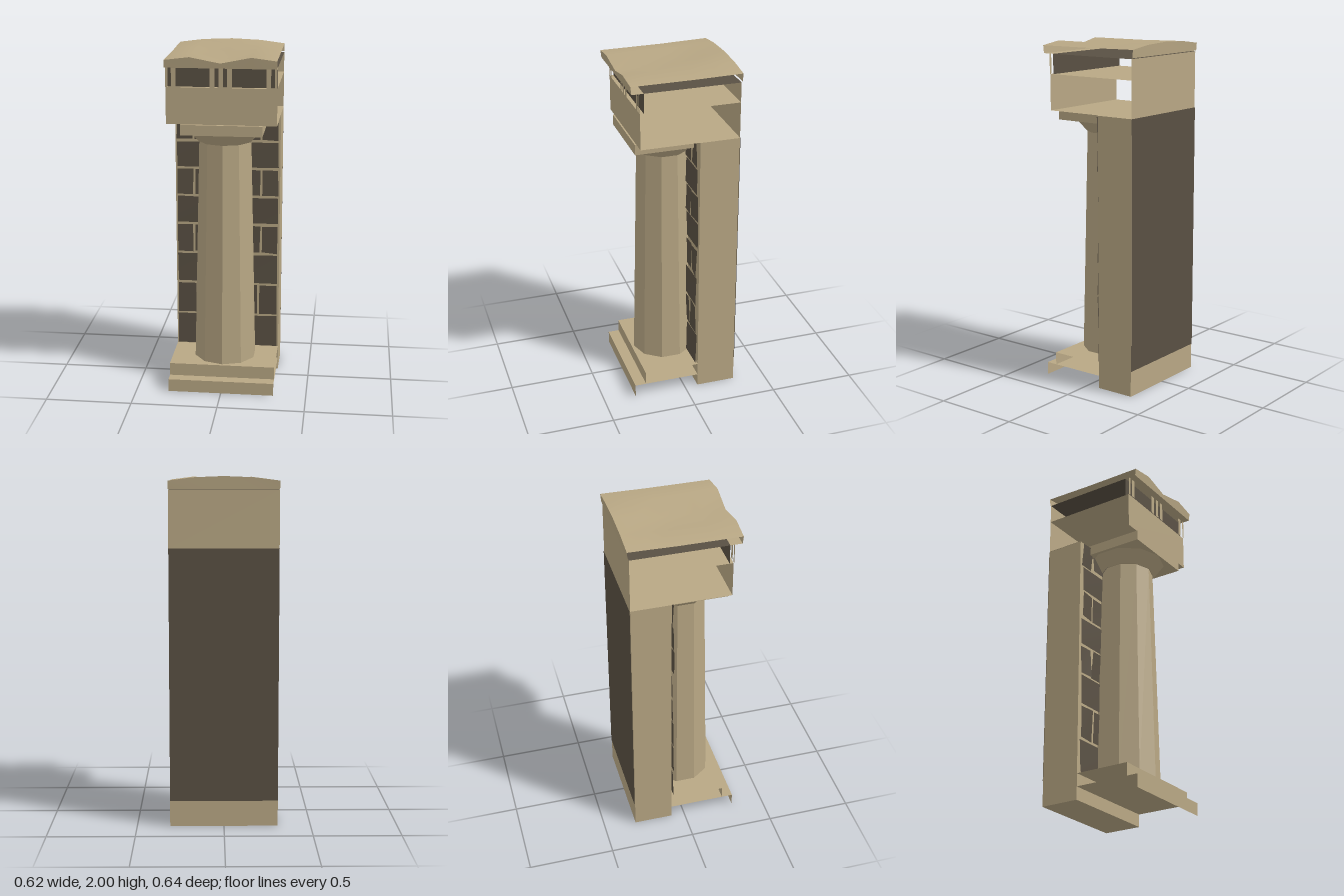
import * as THREE from 'three';

const stone = new THREE.MeshStandardMaterial({ color: 0xb8a784, side: THREE.DoubleSide });
stone.name = 'sandstone';
const dark = new THREE.MeshStandardMaterial({ color: 0x595043, side: THREE.DoubleSide });
dark.name = 'darkStone';

const W = 0.31;        // half width of the bay
const BACK = -0.31;    // back of the wall
const WALL = -0.08;    // front of the wall
const AXIS = 0.046;    // z of the column axis

export function createModel() {
  const model = new THREE.Group();
  model.name = 'columnBay';

  const add = (name, geometry, material, x = 0, y = 0, z = 0) => {
    const mesh = new THREE.Mesh(geometry, material);
    mesh.name = name;
    mesh.position.set(x, y, z);
    model.add(mesh);
    return mesh;
  };
  const box = (name, mat, x0, x1, y0, y1, z0, z1) =>
    add(name, new THREE.BoxGeometry(x1 - x0, y1 - y0, z1 - z0), mat, (x0 + x1) / 2, (y0 + y1) / 2, (z0 + z1) / 2);
  // Upright sheet, facing front or back
  const sheet = (name, mat, x0, x1, y0, y1, z, faceBack = false) => {
    const g = new THREE.PlaneGeometry(x1 - x0, y1 - y0);
    if (faceBack) g.rotateY(Math.PI);
    return add(name, g, mat, (x0 + x1) / 2, (y0 + y1) / 2, z);
  };
  // Level sheet across the whole width
  const level = (name, mat, y, z0, z1, faceDown = false) => {
    const g = new THREE.PlaneGeometry(2 * W, z1 - z0).rotateX(faceDown ? Math.PI / 2 : -Math.PI / 2);
    return add(name, g, mat, 0, y, (z0 + z1) / 2);
  };
  // Smooth or faceted grid through rows of points
  const grid = (name, mat, rows) => {
    const n = rows[0].length, index = [];
    for (let r = 0; r < rows.length - 1; r++) {
      for (let c = 0; c < n - 1; c++) {
        const a = r * n + c, b = a + n;
        index.push(a, a + 1, b, a + 1, b + 1, b);
      }
    }
    const g = new THREE.BufferGeometry();
    g.setAttribute('position', new THREE.Float32BufferAttribute(rows.flat(2), 3));
    g.setIndex(index);
    g.computeVertexNormals();
    return add(name, g, mat);
  };

  // Steps: open-sided fronts and treads
  sheet('lowerStepFront', stone, -W, W, 0, 0.075, 0.31);
  level('lowerStepTread', stone, 0.075, WALL, 0.31);
  sheet('upperStepFront', stone, -W, W, 0.075, 0.15, 0.245);
  level('upperStepTread', stone, 0.15, WALL, 0.245);

  // Wall with dark back
  box('wall', stone, -W, W, 0, 1.6, BACK, WALL);
  sheet('wallBack', dark, -W, W, 0.15, 1.6, BACK - 0.003, true);

  // Rough dark blocks laid over the wall front
  let seed = 7;
  const jitter = (s) => {
    seed = (seed * 16807) % 2147483647;
    return (seed / 2147483647 - 0.5) * 2 * s;
  };
  const courses = [0.15, 0.355, 0.555, 0.745, 0.925, 1.1, 1.27, 1.437, 1.595];
  for (let i = 0; i < 8; i++) {
    const joint = i === 1 ? 0.185 : 0.2;
    const spans = i % 2 ? [[-0.305, -joint], [-joint, joint], [joint, 0.305]] : [[-0.305, 0], [0, 0.305]];
    for (const [x0, x1] of spans) {
      const block = sheet('wallBlock', dark, x0 + 0.006, x1 - 0.006, courses[i] + 0.008, courses[i + 1] - 0.008, -0.068);
      const p = block.geometry.attributes.position;
      for (let v = 0; v < 4; v++) {
        p.setXYZ(v, p.getX(v) + jitter(0.003), p.getY(v) + jitter(0.003), jitter(0.007));
      }
      block.geometry.computeVertexNormals();
    }
  }

  // Ten-sided column and capital
  const facet = (name, top, bottom, y0, y1) => {
    const g = new THREE.CylinderGeometry(top, bottom, y1 - y0, 10, 1, true).toNonIndexed();
    g.computeVertexNormals();
    return add(name, g, stone, 0, (y0 + y1) / 2, AXIS);
  };
  facet('columnShaft', 0.153, 0.184, 0.15, 1.47);
  facet('capitalFlare', 0.222, 0.158, 1.47, 1.54);
  box('capitalSlab', stone, -0.23, 0.23, 1.54, 1.6, WALL, 0.27);

  // Beam: open-sided, with underside, front and top
  level('beamUnderside', stone, 1.602, BACK, 0.262, true);
  sheet('beamFront', stone, -W, W, 1.602, 1.81, 0.262);
  level('beamTop', stone, 1.81, BACK, 0.262);
  sheet('upperBack', stone, -W, W, 1.6, 1.925, BACK, true);

  // Frieze with upright bars
  sheet('friezePanel', dark, -W, W, 1.81, 1.925, 0.24);
  level('friezeCeiling', dark, 1.925, BACK, 0.24, true);
  level('corniceSoffit', stone, 1.925, 0.24, 0.308, true);
  for (const x of [-0.265, -0.05, -0.002, 0.046, 0.262]) {
    sheet('friezeBar', stone, x - 0.013, x + 0.013, 1.81, 1.925, 0.266);
  }
  for (const s of [-1, 1]) {
    sheet('friezeEdgeBar', stone, s * 0.303 - 0.007, s * 0.303 + 0.007, 1.81, 1.925, 0.266);
  }

  // Worn roof slab: uneven front edge rising to a rounded back edge
  const xs = [-W, -0.17, 0, 0.17, W];
  const frontY = [1.968, 1.986, 1.953, 1.988, 1.97];
  const backY = [1.975, 1.993, 2.0, 1.993, 1.975];
  const frontZ = [0.313, 0.316, 0.311, 0.317, 0.313];
  const roofRow = (z, t) => xs.map((x, i) => [x, THREE.MathUtils.lerp(frontY[i], backY[i], t), z ?? frontZ[i]]);
  const back = roofRow(-0.32, 1), front = roofRow(null, 0);
  const flat = (y, z) => xs.map((x) => [x, y, z]);
  grid('roofTop', stone, [front, roofRow(0.15, 0.05), roofRow(-0.05, 0.15), roofRow(-0.19, 0.65), back].map((r) => r.slice()));
  grid('roofFront', stone, [flat(1.925, 0.308), front]);
  grid('roofBack', stone, [back, flat(1.93, -0.316)]);

  return model;
}
